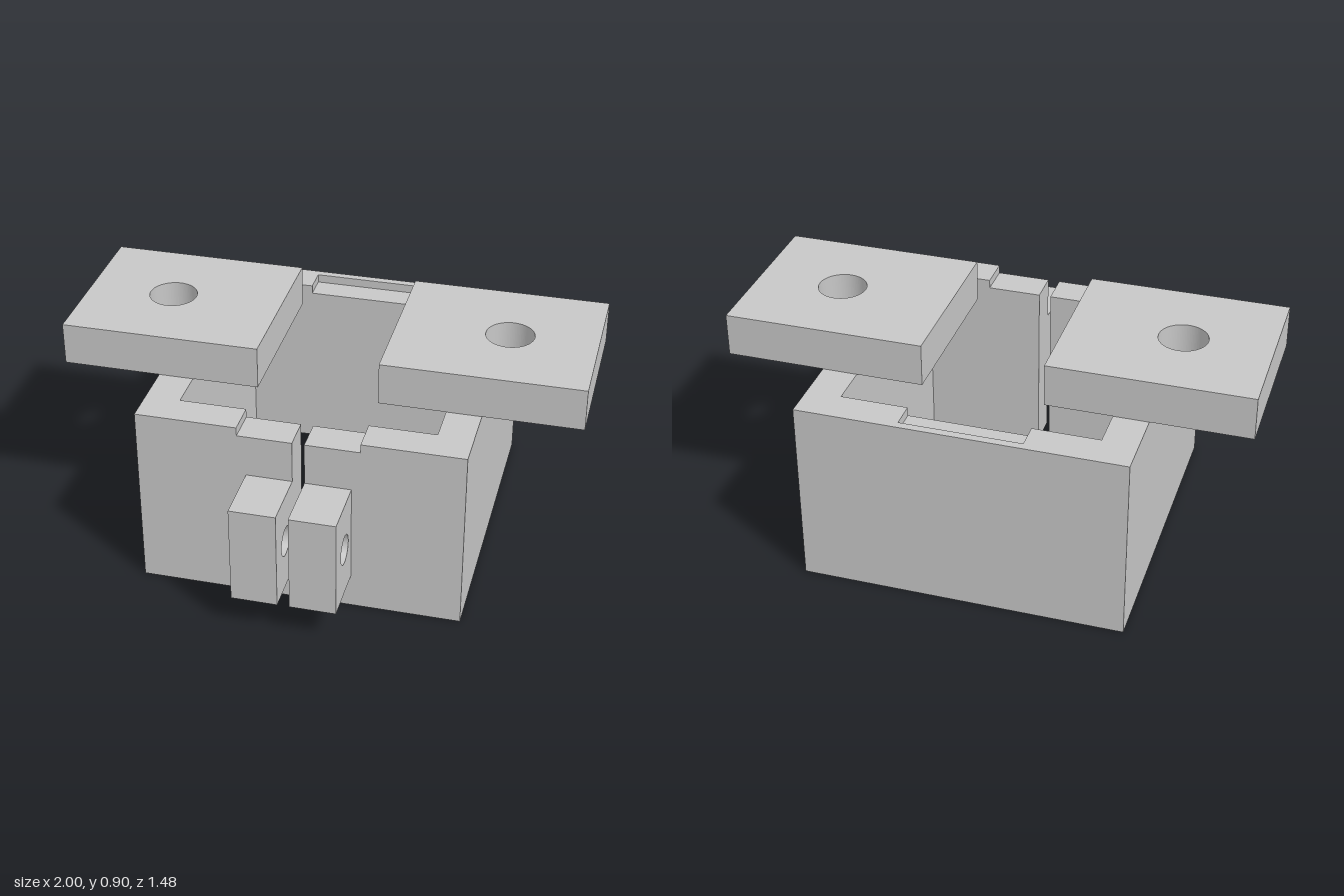
import * as THREE from 'three';

const grey = new THREE.MeshStandardMaterial({ color: 0xc7c7c7 });
grey.name = 'plain grey';

// Closed plan shape from the [x, z] points of its +x half, mirrored to -x
function mirroredPlan(half) {
  const all = [...half, ...half.map(([x, z]) => [-x, z]).reverse()];
  return new THREE.Shape(all.map(([x, z]) => new THREE.Vector2(x, -z)));
}

// Rectangle centred on the origin with one round hole
function drilledRect(w, h, holeX, r) {
  const a = w / 2, b = h / 2;
  const shape = new THREE.Shape([[-a, -b], [a, -b], [a, b], [-a, b]].map(p => new THREE.Vector2(...p)));
  const hole = new THREE.Path();
  hole.absarc(holeX, 0, r, 0, Math.PI * 2, true);
  shape.holes.push(hole);
  return shape;
}

function extrude(shape, depth) {
  return new THREE.ExtrudeGeometry(shape, { depth, bevelEnabled: false, curveSegments: 48 });
}

export function createModel() {
  const model = new THREE.Group();
  model.name = 'clampBracket';
  const add = (name, geometry) => {
    const mesh = new THREE.Mesh(geometry, grey);
    mesh.name = name;
    model.add(mesh);
  };

  const out = 0.622, inn = 0.488, back = -0.739, front = 0.505;
  const backIn = -0.607, frontIn = 0.373, slot = 0.023, notch = 0.232;
  const ledge = 0.7, top = 0.734;

  // Open box sleeve with a slit down the front
  const sleeve = mirroredPlan([
    [inn, backIn], [inn, frontIn], [slot, frontIn], [slot, front], [out, front], [out, back],
  ].reverse().map(([x, z]) => [x, z]));
  add('sleeve', extrude(sleeve, ledge).rotateX(-Math.PI / 2));

  // Rim above the ledges, notched at front and back
  const rim = mirroredPlan([
    [out, back], [out, front], [notch, front], [notch, frontIn],
    [inn, frontIn], [inn, backIn], [notch, backIn], [notch, -0.708],
  ]);
  add('rim', extrude(rim, top - ledge).rotateX(-Math.PI / 2).translate(0, ledge, 0));

  for (const s of [1, -1]) {
    const side = s > 0 ? 'left' : 'right';

    // Mounting plate with a vertical bolt hole
    const plate = extrude(drilledRect(0.768, 0.665, s * 0.049, 0.093), 0.166);
    add(side + 'MountingPlate', plate.rotateX(-Math.PI / 2).translate(s * 0.616, top, -0.117));

    // Clamp lug with a cross hole
    const lug = extrude(drilledRect(0.235, 0.395, 0.0145, 0.058), 0.177);
    add(side + 'ClampLug', lug.rotateY(Math.PI / 2).translate(s > 0 ? slot : -0.2, 0.335, 0.6225));
  }
  return model;
}
